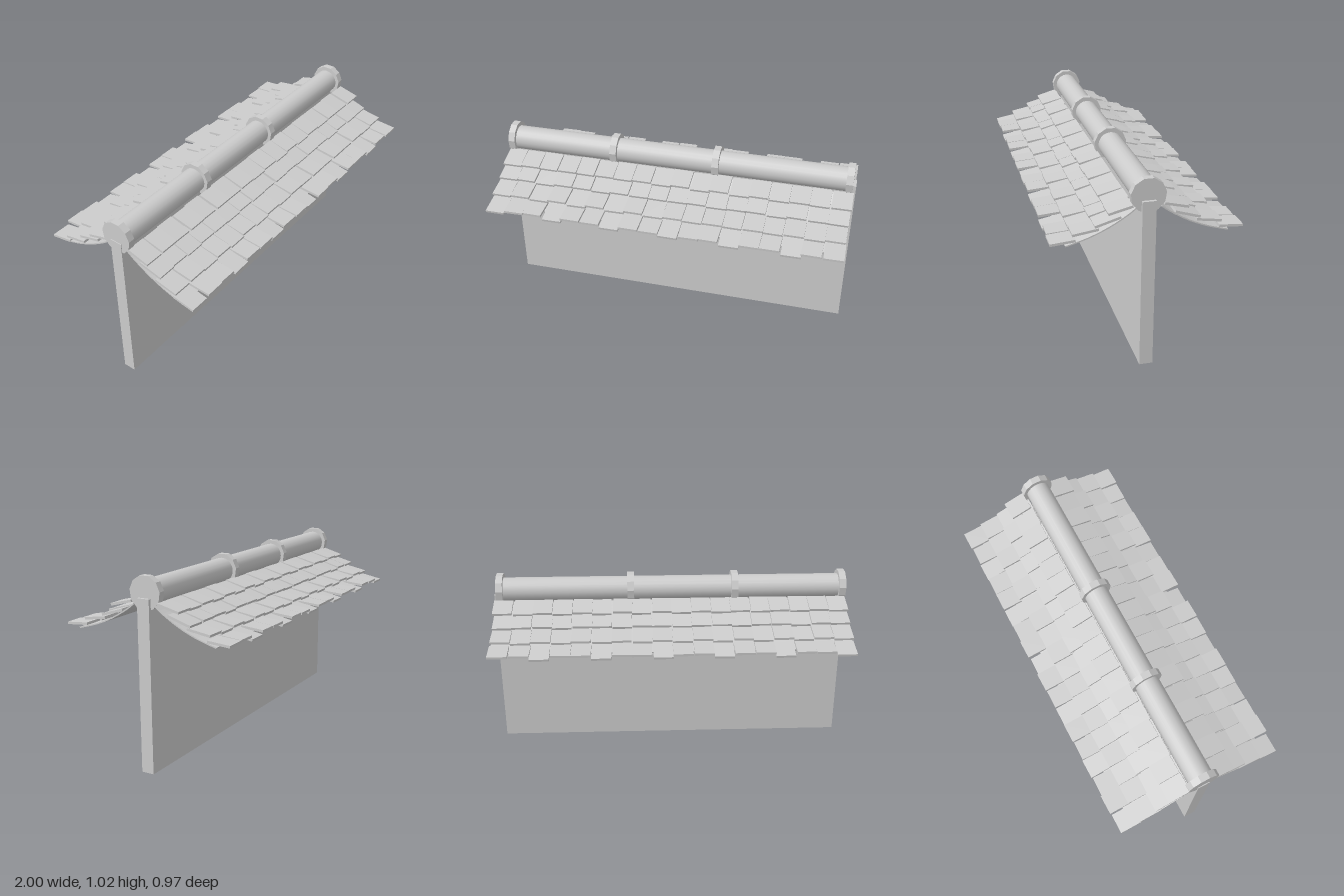
import * as THREE from 'three';

export function createModel() {
  const group = new THREE.Group();
  const stone = new THREE.MeshStandardMaterial({ color: 0xcccccc });
  stone.name = 'plain grey';

  function add(name, geometry, parent = group) {
    const mesh = new THREE.Mesh(geometry, stone);
    mesh.name = name;
    parent.add(mesh);
    return mesh;
  }

  // Wall slab
  add('wall', new THREE.BoxGeometry(2, 0.91, 0.07)).position.y = 0.455;

  // Ridge pole lying along x, with four collars
  const pole = add('ridgePole', new THREE.CylinderGeometry(0.068, 0.068, 1.95, 20).rotateZ(Math.PI / 2));
  pole.position.set(-0.005, 0.932, 0);
  for (const x of [-0.977, -0.364, 0.226, 0.965]) {
    const collar = new THREE.CylinderGeometry(0.09, 0.09, 0.038, 11).toNonIndexed();
    collar.computeVertexNormals();
    // turn so that one corner points straight up
    collar.rotateY(-Math.PI / 2).rotateZ(Math.PI / 2);
    add('ridgeCollar', collar).position.set(x, 0.935, 0);
  }

  // Sagging board under the tiles: an extruded curved strip
  const upper = new THREE.SplineCurve([
    [0.065, 0.88], [0.11, 0.846], [0.2, 0.793], [0.3, 0.75], [0.41, 0.718],
  ].map(([z, y]) => new THREE.Vector2(z, y))).getPoints(12);
  const lower = upper.map((p) => new THREE.Vector2(p.x - 0.003, p.y - 0.006)).reverse();
  const strip = new THREE.Shape([...upper, ...lower]);

  // Tile rows: upper edge [z, y], lower edge [z, y], repeat of the low tile, its drop
  const rows = [
    { top: [0.075, 0.89], end: [0.197, 0.86], every: 2, drop: 0.008 },
    { top: [0.14, 0.84], end: [0.268, 0.806], every: 3, drop: 0.007 },
    { top: [0.246, 0.786], end: [0.375, 0.767], every: 2, drop: 0.01 },
    { top: [0.356, 0.741], end: [0.481, 0.731], every: 3, drop: 0.02 },
  ];
  const pitch = 0.1103, count = 18;

  for (const side of [1, -1]) {
    const slope = new THREE.Group();
    slope.name = side > 0 ? 'frontRoof' : 'backRoof';
    // half a turn makes the back; tiles are flipped in x to keep their order
    slope.rotation.y = side > 0 ? 0 : Math.PI;
    group.add(slope);

    const board = new THREE.ExtrudeGeometry(strip, { depth: 1.98, bevelEnabled: false });
    board.rotateY(-Math.PI / 2).translate(0.99, 0, 0);
    add('roofBoard', board, slope);

    rows.forEach((row, r) => {
      for (let i = 0; i < count; i++) {
        const low = (i + (r === 1 ? 1 : 0)) % row.every === 0;
        const drop = low ? row.drop : 0;
        const dz = row.end[0] - row.top[0];
        const dy = row.end[1] - row.top[1] - drop * 0.7;
        // small regular variation in placement
        const wobble = Math.sin(i * 2.7 + r * 1.9) * 0.003;
        const tile = add('roofTile', new THREE.BoxGeometry(pitch - 0.003, 0.013, Math.hypot(dz, dy)), slope);
        tile.position.set(
          side * (-0.993 + pitch * (i + 0.5) + wobble),
          row.top[1] - drop * 0.3 + dy / 2,
          row.top[0] + dz / 2 + wobble - (low ? 0.003 : 0),
        );
        tile.rotation.x = Math.atan2(-dy, dz);
        tile.rotation.y = wobble * 4;
      }
    });
  }
  return group;
}
